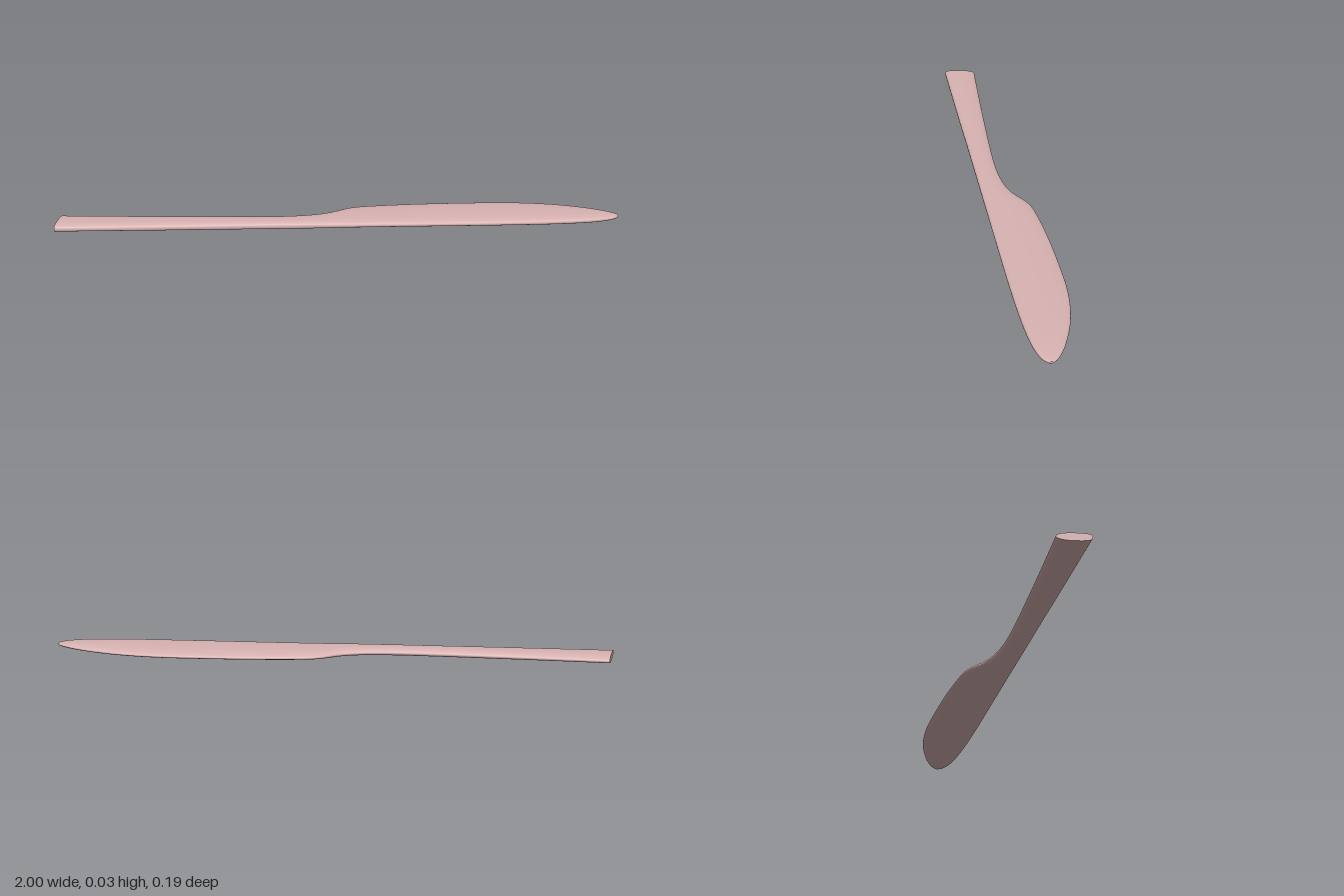
import * as THREE from 'three';

const MID_Y = 0.014, HALF_THICK = 0.014;
const AROUND = 40, ALONG = 120;

// Outline stations: x, cutting-edge z, spine z
const stations = [
  [-1, -0.02, 0.095], [-0.8, -0.009, 0.095], [-0.6, 0.001, 0.095], [-0.4, 0.01, 0.094],
  [-0.25, 0.014, 0.094], [-0.15, 0.01, 0.094], [-0.08, -0.001, 0.094], [-0.03, -0.018, 0.094],
  [0, -0.035, 0.094], [0.03, -0.053, 0.094], [0.07, -0.068, 0.094], [0.15, -0.079, 0.094],
  [0.3, -0.09, 0.094], [0.5, -0.095, 0.094], [0.6, -0.094, 0.093], [0.7, -0.085, 0.091],
  [0.8, -0.066, 0.087], [0.9, -0.034, 0.078], [0.95, -0.012, 0.068], [0.98, 0.006, 0.057],
  [0.994, 0.018, 0.046], [1, 0.029, 0.037],
];
const outline = new THREE.CatmullRomCurve3(stations.map(s => new THREE.Vector3(...s)));

// Full thickness along the body, thinning towards the tip
function halfThickness(x) {
  const t = THREE.MathUtils.clamp((x - 0.55) / 0.45, 0, 1);
  return HALF_THICK * Math.sqrt(1 - 0.93 * t ** 4);
}

// Rounded section: blunt at the spine, finer at the cutting edge
function section(t) {
  const { x, y: edge, z: spine } = outline.getPoint(t);
  const mid = (edge + spine) / 2, half = (spine - edge) / 2, thick = halfThickness(x);
  const ring = [];
  for (let j = 0; j < AROUND; j++) {
    const a = (j / AROUND) * Math.PI * 2, c = Math.cos(a), s = Math.sin(a);
    const p = 2 / (c > 0 ? 3 : 2.2);
    const z = mid + half * Math.sign(c) * Math.abs(c) ** p;
    const y = MID_Y + thick * Math.sign(s) * Math.abs(s) ** p;
    // The butt of the handle is cut at a slight slant
    const slant = 0.17 * (0.095 - z) * THREE.MathUtils.clamp((-0.6 - x) / 0.4, 0, 1);
    ring.push([x + slant, y, z]);
  }
  return ring;
}

function center(ring) {
  return [0, 1, 2].map(k => ring.reduce((sum, p) => sum + p[k], 0) / ring.length);
}

function makeGeometry(points, index) {
  const g = new THREE.BufferGeometry();
  g.setAttribute('position', new THREE.Float32BufferAttribute(points.flat(), 3));
  g.setIndex(index);
  g.computeVertexNormals();
  return g;
}

// Smooth skin through all sections, closed at the tip
function bodyGeometry() {
  const points = [], index = [];
  for (let i = 0; i <= ALONG; i++) points.push(...section(i / ALONG));
  for (let i = 0; i < ALONG; i++) {
    for (let j = 0; j < AROUND; j++) {
      const k = (j + 1) % AROUND;
      const a = i * AROUND + j, b = a + AROUND, c = i * AROUND + k, d = c + AROUND;
      index.push(a, b, c, b, d, c);
    }
  }
  const last = ALONG * AROUND, tip = points.length;
  points.push(center(points.slice(last)));
  for (let j = 0; j < AROUND; j++) index.push(tip, last + (j + 1) % AROUND, last + j);
  return makeGeometry(points, index);
}

// Flat slanted cap on the handle
function capGeometry() {
  const ring = section(0), index = [];
  for (let j = 0; j < AROUND; j++) index.push(AROUND, j, (j + 1) % AROUND);
  return makeGeometry([...ring, center(ring)], index);
}

export function createModel() {
  const group = new THREE.Group();
  group.name = 'knife';
  const material = new THREE.MeshStandardMaterial({ color: 0xd9b3b3 });
  const add = (name, geometry) => {
    const mesh = new THREE.Mesh(geometry, material);
    mesh.name = name;
    group.add(mesh);
  };
  add('bladeAndHandle', bodyGeometry());
  add('handleEnd', capGeometry());
  return group;
}
